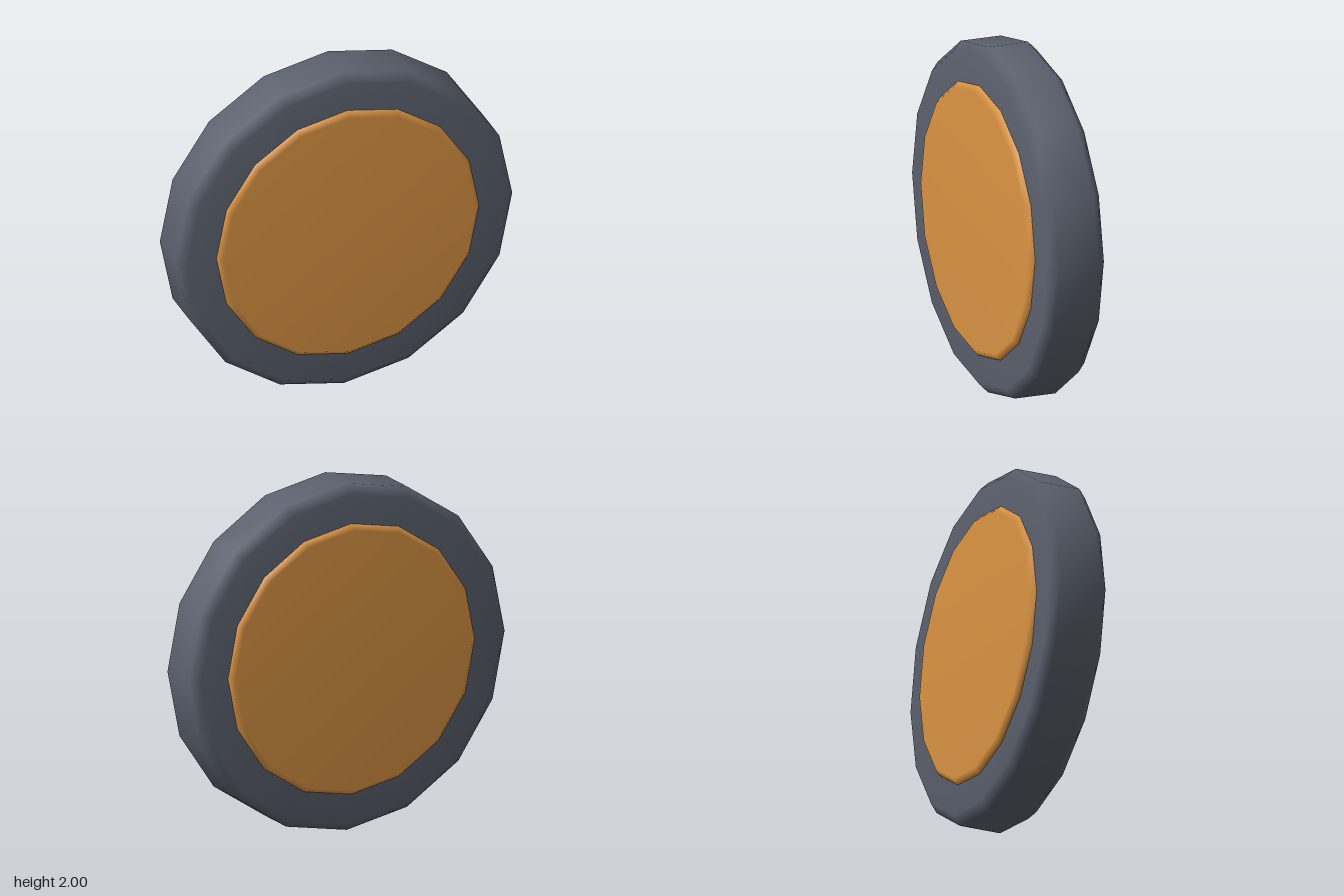
import * as THREE from 'three';

const SIDES = 16;

// Turns a half profile of [radius, z] points, mirrored front to back, around the z axis
function turned(name, half, material) {
  const back = half.map(([r, z]) => new THREE.Vector2(r, -z));
  const front = half.map(([r, z]) => new THREE.Vector2(r, z)).reverse();
  const geometry = new THREE.LatheGeometry([...back, ...front], SIDES);
  geometry.rotateX(Math.PI / 2);
  const mesh = new THREE.Mesh(geometry, material);
  mesh.name = name;
  mesh.position.y = 1;
  return mesh;
}

export function createModel() {
  const rubber = new THREE.MeshStandardMaterial({ color: 0x5b616e });
  rubber.name = 'slate grey';
  const paint = new THREE.MeshStandardMaterial({ color: 0xdb9443 });
  paint.name = 'warm orange';

  const wheel = new THREE.Group();
  wheel.name = 'wheel';

  // Chamfered outer tyre, running in under the hub disc
  wheel.add(turned('tyre', [[0.6, 0.17], [0.95, 0.17], [1, 0.12]], rubber));

  // Solid hub showing as a bevelled disc on both faces
  wheel.add(turned('hubDisc', [[0, 0.204], [0.75, 0.204], [0.78, 0.174], [0.78, 0.15]], paint));

  return wheel;
}
